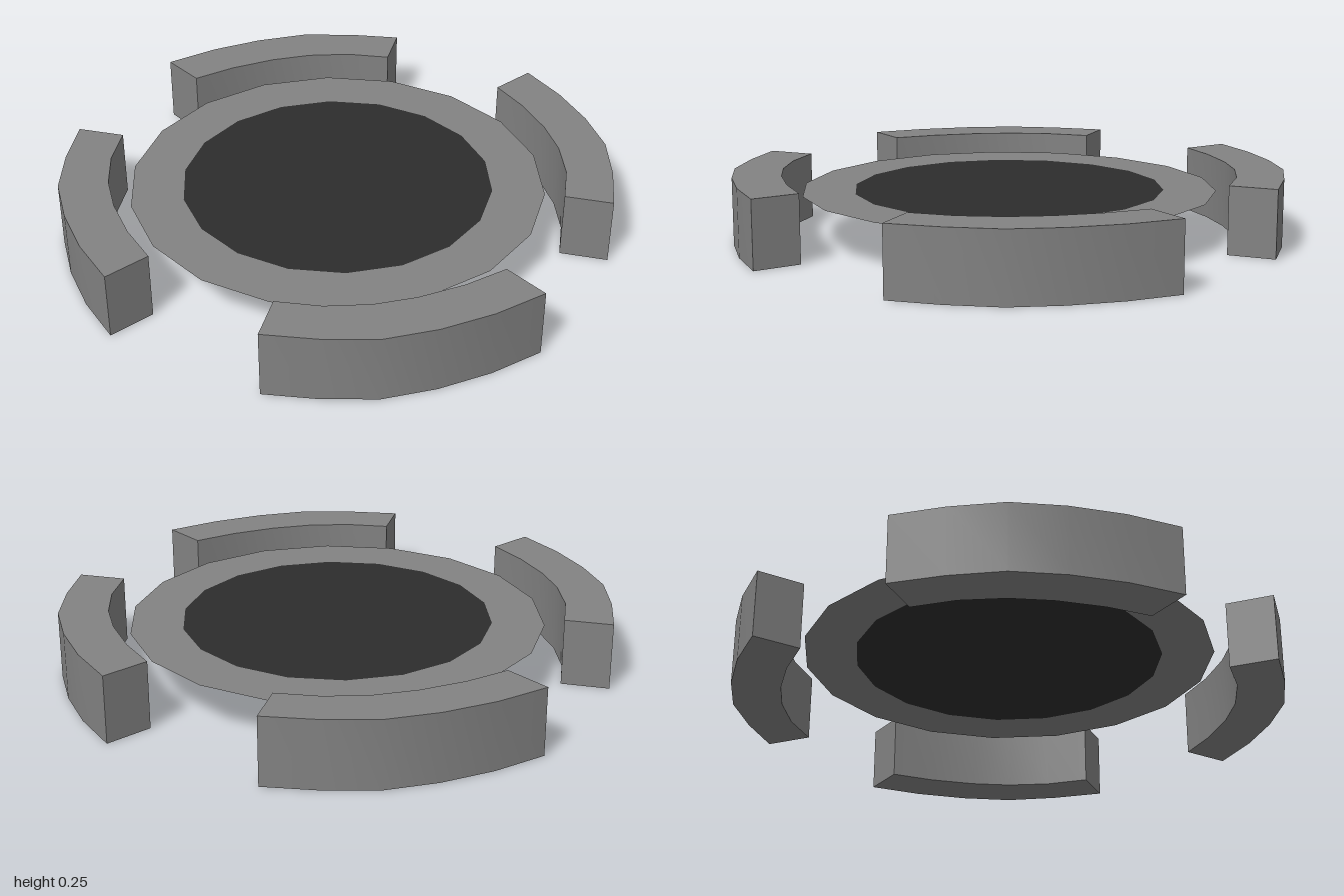
import * as THREE from 'three';
import { toCreasedNormals } from 'three/addons/utils/BufferGeometryUtils.js';

const HEIGHT = 0.247;   // height of the curved walls
const PLATE_Y = 0.18;   // level of the flat disc
const SIDES = 18;

// Plan of one curved wall, as [x, -z] along its outer and inner edges
const OUTER = [[0.203, 1.0], [0.39, 0.927], [0.561, 0.83], [0.712, 0.712], [0.829, 0.556], [0.926, 0.387]];
const INNER = [[0.167, 0.828], [0.32, 0.766], [0.468, 0.68], [0.586, 0.585], [0.69, 0.462], [0.766, 0.32]];

export function createModel() {
  const grey = new THREE.MeshStandardMaterial({ color: 0x828282, side: THREE.DoubleSide });
  grey.name = 'mid grey';
  const dark = new THREE.MeshStandardMaterial({ color: 0x2d2d2d, side: THREE.DoubleSide });
  dark.name = 'charcoal';

  const model = new THREE.Group();
  const add = (name, geometry, material) => {
    const mesh = new THREE.Mesh(geometry, material);
    mesh.name = name;
    model.add(mesh);
    return mesh;
  };

  // Flat disc: outer band and dark centre lie in one plane
  const flat = (geometry) => geometry.rotateX(-Math.PI / 2).translate(0, PLATE_Y, 0);
  add('outerBand', flat(new THREE.RingGeometry(0.567, 0.757, SIDES, 1)), grey);
  add('darkCentre', flat(new THREE.CircleGeometry(0.567, SIDES)), dark);

  // Four curved walls, a quarter turn apart
  const outline = [...OUTER, ...[...INNER].reverse()].map(([x, y]) => new THREE.Vector2(x, y));
  const wall = new THREE.ExtrudeGeometry(new THREE.Shape(outline), { depth: HEIGHT, bevelEnabled: false });
  wall.rotateX(-Math.PI / 2);
  const wallGeometry = toCreasedNormals(wall, Math.PI / 6);
  for (let i = 0; i < 4; i++) {
    add(`curvedWall${i + 1}`, wallGeometry, grey).rotation.y = i * Math.PI / 2;
  }
  return model;
}
